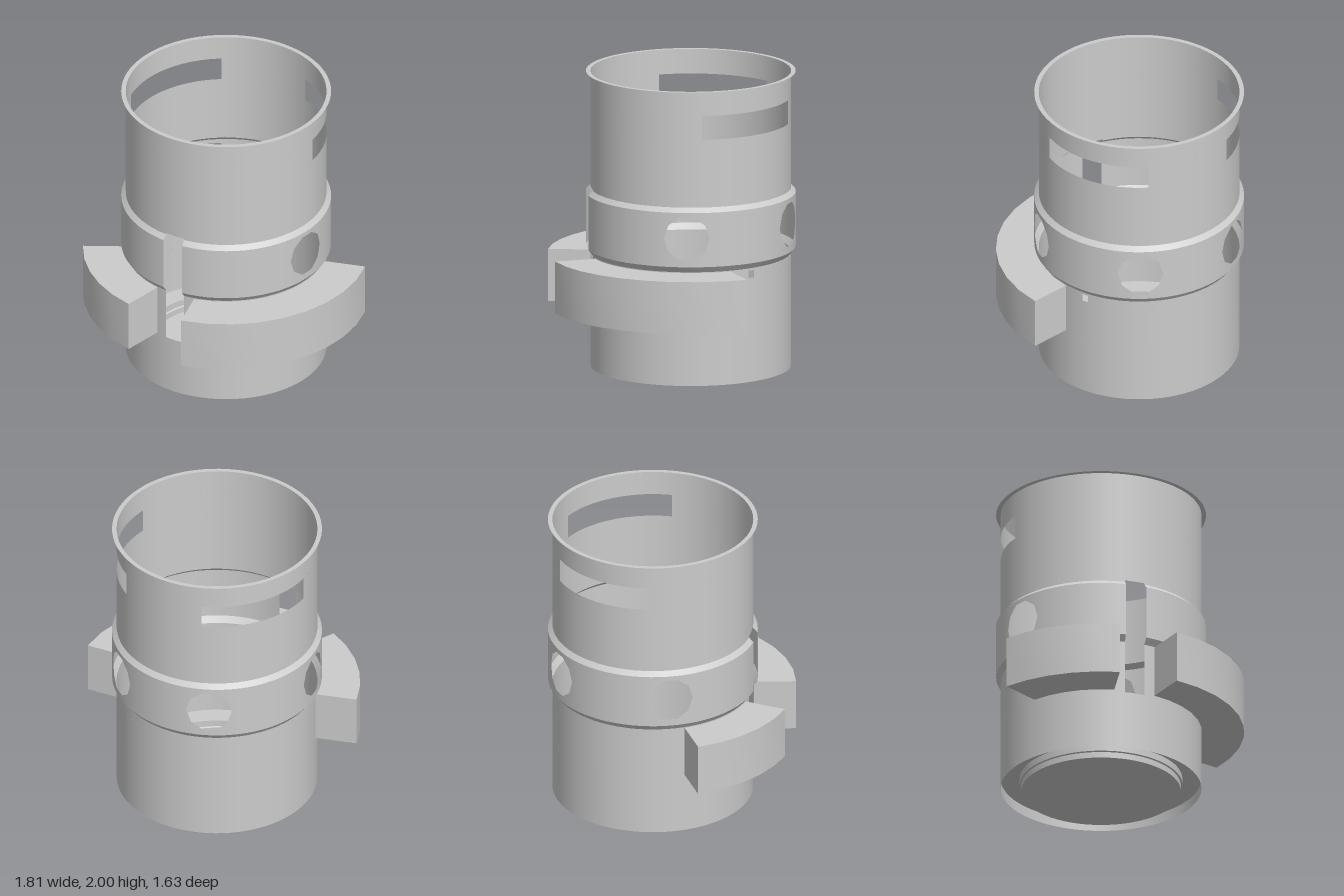
import * as THREE from 'three';
import { mergeGeometries, toCreasedNormals } from 'three/addons/utils/BufferGeometryUtils.js';

const RAD = Math.PI / 180;
const BODY = 0.66, BAND = 0.69;
const sheet = new THREE.MeshStandardMaterial({ color: 0xcccccc, side: THREE.DoubleSide });
const solid = new THREE.MeshStandardMaterial({ color: 0xcccccc });

function add(group, name, geometry, material = sheet) {
  const mesh = new THREE.Mesh(geometry, material);
  mesh.name = name;
  group.add(mesh);
  return mesh;
}

// One row of thin wall, left open at the gaps [from, to]; degrees run from the front (+z) towards +x
function wallRow(y0, y1, r0, r1, gaps = []) {
  const panels = [];
  const edges = [0, ...gaps.flat(), 360];
  for (let i = 0; i < edges.length; i += 2) {
    const from = edges[i], span = edges[i + 1] - from;
    if (span <= 0) continue;
    const g = new THREE.CylinderGeometry(r1, r0, y1 - y0, Math.ceil(span / 5), 1, true, from * RAD, span * RAD);
    panels.push(g.translate(0, (y0 + y1) / 2, 0));
  }
  return mergeGeometries(panels);
}

// Square patch of the band with a ten-sided opening, bent round the cylinder
function holePatch(angle, halfSpan, y0, y1, holeY, holeR) {
  const steps = 40, rings = 4;
  const g = new THREE.RingGeometry(0.5, 1, steps, rings);
  const pos = g.attributes.position, nor = g.attributes.normal;
  const halfW = halfSpan * RAD * BAND, halfH = (y1 - y0) / 2, midY = (y0 + y1) / 2;
  for (let k = 0; k < pos.count; k++) {
    const i = k % (steps + 1), t = (i / steps) * Math.PI * 2;
    const f = Math.floor(k / (steps + 1)) / rings;
    const c = Math.cos(t), s = Math.sin(t), m = Math.max(Math.abs(c), Math.abs(s));
    const r = holeR * Math.cos(18 * RAD) / Math.cos(((i * 9) % 36 - 18) * RAD);
    const u = THREE.MathUtils.lerp(r * c, halfW * c / m, f);
    const y = THREE.MathUtils.lerp(holeY + r * s, midY + halfH * s / m, f);
    const a = angle * RAD + u / BAND;
    pos.setXYZ(k, Math.sin(a) * BAND, y, Math.cos(a) * BAND);
    nor.setXYZ(k, Math.sin(a), 0, Math.cos(a));
  }
  return g;
}

// Solid arc-shaped block hugging the body
function arcBlock(from, to, segments) {
  const points = [];
  const put = (r, deg) => points.push(new THREE.Vector2(Math.sin(deg * RAD) * r, -Math.cos(deg * RAD) * r));
  for (let i = 0; i <= segments; i++) put(0.942, from + (to - from) * i / segments);
  for (let i = segments; i >= 0; i--) put(BODY + 0.004, from + (to - from) * i / segments);
  const g = new THREE.ExtrudeGeometry(new THREE.Shape(points), { depth: 0.35, bevelEnabled: false });
  return toCreasedNormals(g.rotateX(-Math.PI / 2).translate(0, 0.43, 0), 0.6);
}

export function createModel() {
  const model = new THREE.Group();
  model.name = 'canister';

  const frontSlot = [348.2, 360];
  const smallHole = [112.7, 116.5];
  const upperSlots = [[84, 152.4], [207.6, 276]];
  const holes = [75.3, 148, 212, 284.7], half = 15;

  // Lower wall with the front slot and the small square hole
  add(model, 'lowerWall', mergeGeometries([
    wallRow(0.02, 0.42, BODY, BODY),
    wallRow(0.42, 0.72, BODY, BODY, [frontSlot]),
    wallRow(0.72, 0.77, BODY, BODY, [smallHole, frontSlot]),
    wallRow(0.77, 0.785, BODY, BODY, [frontSlot]),
  ]));

  // Raised band with sloped shoulders and round openings
  add(model, 'bandLowerShoulder', wallRow(0.785, 0.825, BODY, BAND, [frontSlot]));
  add(model, 'raisedBand', mergeGeometries([
    wallRow(0.825, 1.19, BAND, BAND, [...holes.map(a => [a - half, a + half]), frontSlot]),
    ...holes.map(a => holePatch(a, half, 0.825, 1.19, 1.015, 0.151)),
  ]));
  add(model, 'bandUpperShoulder', wallRow(1.19, 1.22, BAND, BODY, [frontSlot]));

  // Upper wall with two long side windows
  add(model, 'upperWall', mergeGeometries([
    wallRow(1.22, 1.23, BODY, BODY, [frontSlot]),
    wallRow(1.23, 1.675, BODY, BODY),
    wallRow(1.675, 1.835, BODY, BODY, upperSlots),
    wallRow(1.835, 2, BODY, BODY),
  ]));

  // Thin outward lip at the open top
  add(model, 'topLip', new THREE.RingGeometry(BODY, BAND, 72).rotateX(-Math.PI / 2).translate(0, 2, 0));

  // Recessed floor with a round stepped foot
  const profile = [[0, 0], [0.525, 0], [0.525, 0.04], [0.535, 0.045], [0.535, 0.09], [BODY, 0.09]];
  const floor = new THREE.LatheGeometry(profile.map(p => new THREE.Vector2(...p)), 72);
  add(model, 'floor', toCreasedNormals(floor, 0.5));

  // Arc blocks on either side of the front slot
  add(model, 'largeArcBlock', arcBlock(6.4, 100.7, 9), solid);
  add(model, 'smallArcBlock', arcBlock(-66.7, -18, 5), solid);

  // The body axis sits off the overall centre
  for (const part of model.children) part.position.set(-0.042, 0, -0.125);
  return model;
}
